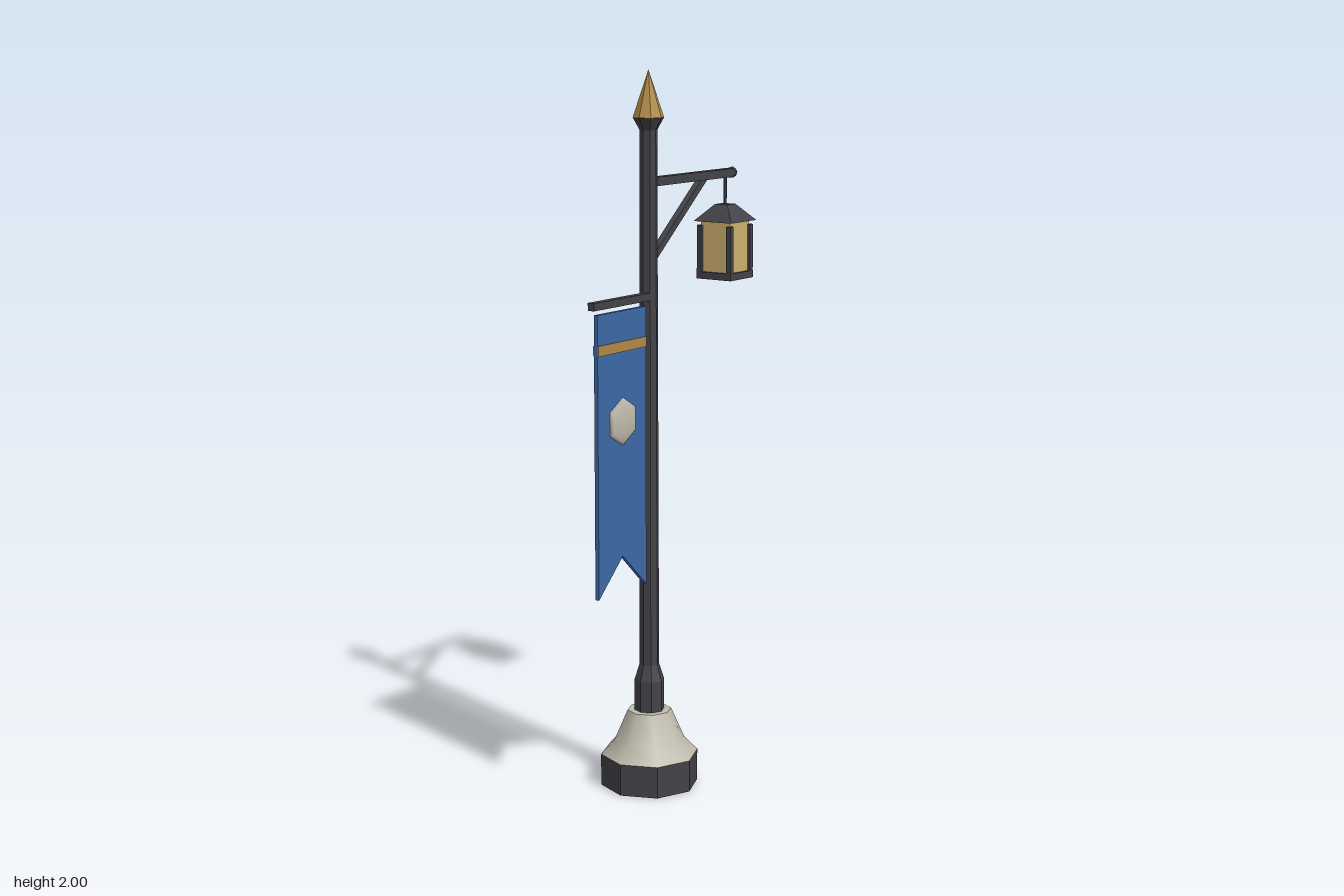
import * as THREE from 'three';

const POLE_X = -0.085, LAMP_X = 0.286;

export function createModel() {
  const model = new THREE.Group();
  model.name = 'streetLamp';

  const material = (name, color, options = {}) => {
    const m = new THREE.MeshStandardMaterial({ color, ...options });
    m.name = name;
    return m;
  };
  const iron = material('dark iron', 0x424248, { flatShading: true, side: THREE.DoubleSide });
  const stone = material('pale stone', 0xbfbbad, { side: THREE.DoubleSide });
  const gold = material('aged gold', 0xb08a45, { flatShading: true });
  const glass = material('amber glass', 0xccb06c, { flatShading: true });
  const cloth = material('blue cloth', 0x3c69a6, { flatShading: true });

  const add = (name, geometry, mat, x = 0, y = 0, z = 0, parent = model) => {
    const mesh = new THREE.Mesh(geometry, mat);
    mesh.name = name;
    mesh.position.set(x, y, z);
    parent.add(mesh);
    return mesh;
  };
  const box = (name, w, h, d, mat, x, y, z, parent) =>
    add(name, new THREE.BoxGeometry(w, h, d), mat, x, y, z, parent);
  // Eight-sided turned part on the pole's axis
  const turned = (name, points, mat) =>
    add(name, new THREE.LatheGeometry(points.map(p => new THREE.Vector2(...p)), 8), mat, POLE_X);

  // Foot: hollow iron ring with a flared stone plinth
  turned('footRing', [[0.138, 0], [0.138, 0.09]], iron);
  turned('plinth', [[0.138, 0.09], [0.1, 0.13], [0.062, 0.217]], stone);
  turned('plinthTop', [[0.062, 0.217], [0, 0.217]], stone);

  // Pole with collar and flared head
  turned('pole', [[0.042, 0.217], [0.042, 0.305], [0.028, 0.35], [0.024, 1.84],
    [0.042, 1.872], [0, 1.873]], iron);
  turned('finial', [[0, 1.872], [0.043, 1.873], [0, 2]], gold);

  // Lamp arm, brace and end knob
  box('lampArm', 0.4, 0.024, 0.024, iron, 0.115, 1.7, 0);
  add('armKnob', new THREE.IcosahedronGeometry(0.018, 0), iron, 0.318, 1.7, 0);
  const from = new THREE.Vector2(-0.08, 1.485), to = new THREE.Vector2(0.175, 1.695);
  const span = to.clone().sub(from);
  const brace = box('armBrace', span.length(), 0.019, 0.019, iron,
    (from.x + to.x) / 2, (from.y + to.y) / 2, 0);
  brace.rotation.z = span.angle();

  // Hanging lantern
  const lantern = new THREE.Group();
  lantern.name = 'lantern';
  lantern.position.x = LAMP_X;
  model.add(lantern);
  add('hanger', new THREE.CylinderGeometry(0.005, 0.005, 0.09, 6), iron, 0, 1.65, 0, lantern);
  const roof = new THREE.CylinderGeometry(0.021 * Math.SQRT2, 0.064 * Math.SQRT2, 0.047, 4);
  add('lanternRoof', roof.rotateY(Math.PI / 4), iron, 0, 1.589, 0, lantern);
  box('lanternGlass', 0.098, 0.148, 0.098, glass, 0, 1.492, 0, lantern);
  box('lanternBase', 0.116, 0.02, 0.116, iron, 0, 1.412, 0, lantern);
  for (const x of [-0.05, 0.05]) for (const z of [-0.05, 0.05])
    box('lanternPost', 0.015, 0.135, 0.015, iron, x, 1.487, z, lantern);

  // Banner rod
  box('bannerRod', 0.255, 0.021, 0.021, iron, -0.2275, 1.392, 0.008);

  // Swallow-tailed banner
  const outline = [[-0.347, 1.37], [-0.347, 0.595], [-0.238, 0.697], [-0.13, 0.595], [-0.13, 1.37]];
  const shape = new THREE.Shape(outline.map(p => new THREE.Vector2(...p)));
  add('banner', new THREE.ExtrudeGeometry(shape, { depth: 0.012, bevelEnabled: false }),
    cloth, 0, 0, 0.011);
  box('bannerStripe', 0.217, 0.028, 0.017, gold, -0.2385, 1.274, 0.017);

  // Domed six-sided emblem on the front of the banner
  const emblem = new THREE.SphereGeometry(0.066, 6, 6);
  emblem.rotateX(Math.PI / 2).rotateZ(Math.PI / 6).scale(1, 1, 0.2);
  add('bannerEmblem', emblem, stone, -0.238, 1.07, 0.024);

  return model;
}
